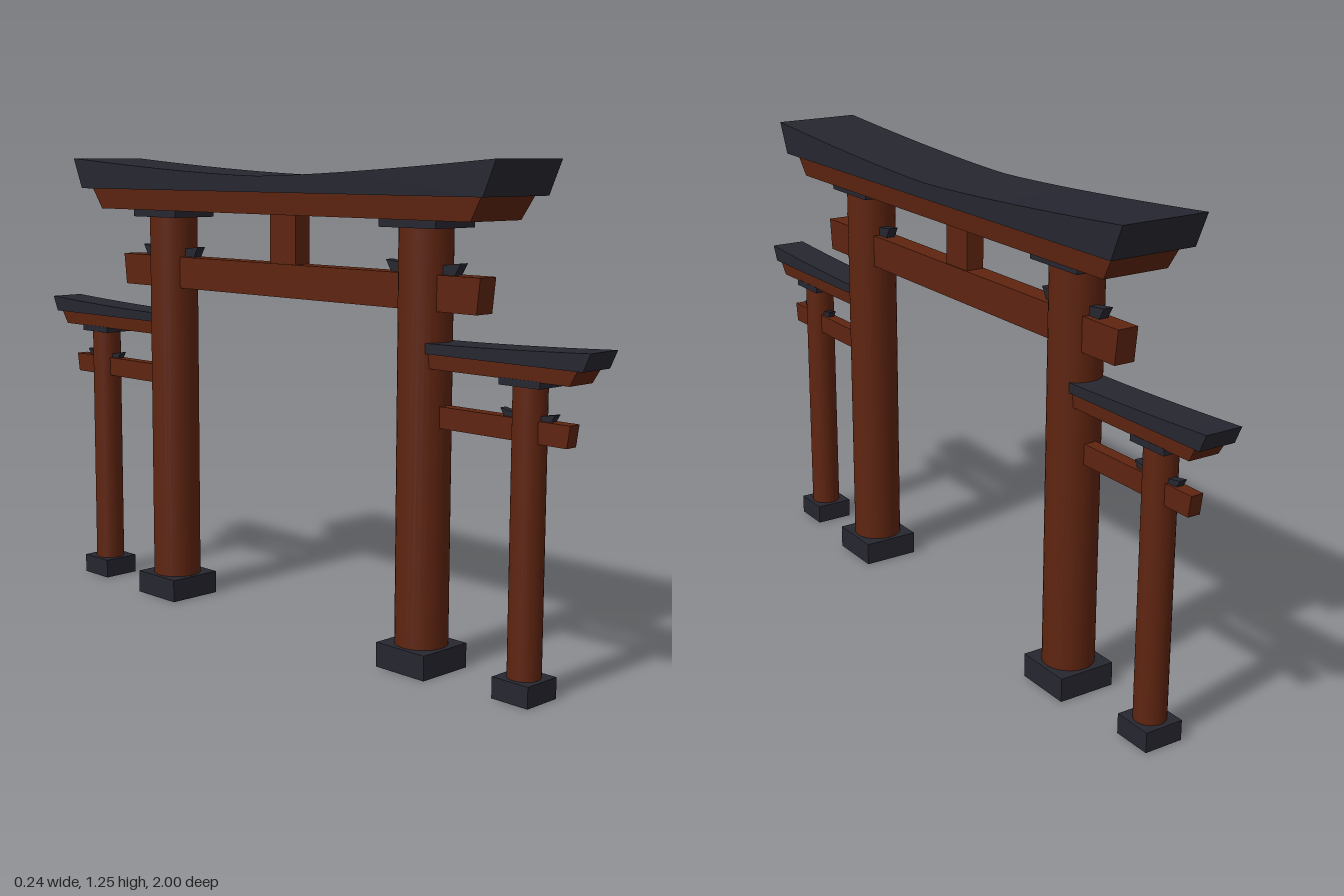
import * as THREE from 'three';

const wood = new THREE.MeshStandardMaterial({ color: 0x5e2410 });
wood.name = 'red brown wood';
const slate = new THREE.MeshStandardMaterial({ color: 0x262630, side: THREE.DoubleSide });
slate.name = 'dark slate';

function add(parent, name, geometry, material) {
  const mesh = new THREE.Mesh(geometry, material);
  mesh.name = name;
  parent.add(mesh);
  return mesh;
}

// Extrudes a [z, y] outline across x, centred on x = 0
function beam(points, width) {
  const shape = new THREE.Shape(points.map(([z, y]) => new THREE.Vector2(z, y)));
  const g = new THREE.ExtrudeGeometry(shape, { depth: width, bevelEnabled: false });
  return g.translate(0, 0, -width / 2).rotateY(-Math.PI / 2);
}

// Widens a beam across x towards its top
function flare(g, y0, y1, ratio) {
  const p = g.attributes.position;
  for (let i = 0; i < p.count; i++) {
    p.setX(i, p.getX(i) * (1 + (ratio - 1) * (p.getY(i) - y0) / (y1 - y0)));
  }
  g.computeVertexNormals();
  return g;
}

function box(w, y0, y1, z0, z1) {
  return new THREE.BoxGeometry(w, y1 - y0, Math.abs(z1 - z0))
    .translate(0, (y0 + y1) / 2, (z0 + z1) / 2);
}

// Hollow plinth, open underneath
function plinth(size, height, z) {
  const g = box(size, 0, height, z - size / 2, z + size / 2);
  const index = Array.from(g.index.array);
  index.splice(18, 6); // bottom face
  g.setIndex(index);
  return g;
}

// Post with plinth, cap block and the wedge that locks the tie beam
function post(parent, name, z, o) {
  const group = new THREE.Group();
  group.name = name;
  add(group, 'postShaft', new THREE.CylinderGeometry(o.radius, o.radius, o.top - o.bottom, 32)
    .translate(0, (o.top + o.bottom) / 2, z), wood);
  add(group, 'plinth', plinth(o.plinth, o.plinthHeight, z), slate);
  add(group, 'capBlock', box(o.capWidth, o.top - 0.002, o.capTop, z - o.capHalf, z + o.capHalf), slate);
  const [y0, y1, half, width] = o.wedge;
  add(group, 'wedge', beam([
    [z - half * 0.85, y0], [z + half * 0.85, y0], [z + half, y1],
    [z + half * 0.5, y1 - 0.007], [z - half * 0.5, y1 - 0.007], [z - half, y1],
  ], width), slate);
  parent.add(group);
}

export function createModel() {
  const gate = new THREE.Group();
  gate.name = 'shrineGate';

  // Main roof with upswept top
  const roof = [[-0.748, 1.167], [0.748, 1.167]];
  for (let i = 0; i <= 20; i++) {
    const t = 1 - i / 10;
    roof.push([t * 0.785, 1.208 + 0.044 * Math.pow(Math.abs(t), 1.4)]);
  }
  add(gate, 'mainRoof', beam(roof, 0.238), slate);

  // Main lintel, tie beam and centre strut
  add(gate, 'mainLintel', flare(beam(
    [[-0.69, 1.11], [0.69, 1.11], [0.726, 1.168], [-0.726, 1.168]], 0.182), 1.11, 1.168, 1.06), wood);
  add(gate, 'mainTieBeam', beam(
    [[-0.66, 0.893], [0.66, 0.893], [0.67, 0.98], [-0.67, 0.98]], 0.057), wood);
  add(gate, 'centreStrut', box(0.05, 0.978, 1.112, -0.048, 0.048), wood);

  for (const s of [1, -1]) {
    post(gate, 'mainPost', s * 0.477, {
      radius: 0.067, bottom: 0.04, top: 1.092, plinth: 0.158, plinthHeight: 0.063,
      capWidth: 0.14, capHalf: 0.091, capTop: 1.112, wedge: [0.979, 1.009, 0.12, 0.026],
    });

    // Small side gate running into the main post
    const side = new THREE.Group();
    side.name = 'sideGate';
    post(side, 'sidePost', s * 0.8, {
      radius: 0.041, bottom: 0.035, top: 0.744, plinth: 0.107, plinthHeight: 0.053,
      capWidth: 0.086, capHalf: 0.059, capTop: 0.759, wedge: [0.664, 0.683, 0.079, 0.02],
    });
    const sideRoof = [[s * 0.48, 0.793], [s * 0.98, 0.793]];
    for (let i = 0; i <= 8; i++) {
      const t = 1 - i / 8;
      sideRoof.push([s * (0.48 + 0.52 * t), 0.818 + 0.018 * Math.pow(t, 1.6)]);
    }
    add(side, 'sideRoof', beam(sideRoof, 0.1), slate);
    add(side, 'sideLintel', flare(beam(
      [[s * 0.48, 0.757], [s * 0.94, 0.757], [s * 0.962, 0.794], [s * 0.48, 0.794]], 0.084),
    0.757, 0.794, 1.06), wood);
    add(side, 'sideTieBeam', beam(
      [[s * 0.48, 0.612], [s * 0.918, 0.612], [s * 0.926, 0.665], [s * 0.48, 0.665]], 0.034), wood);
    gate.add(side);
  }
  return gate;
}
